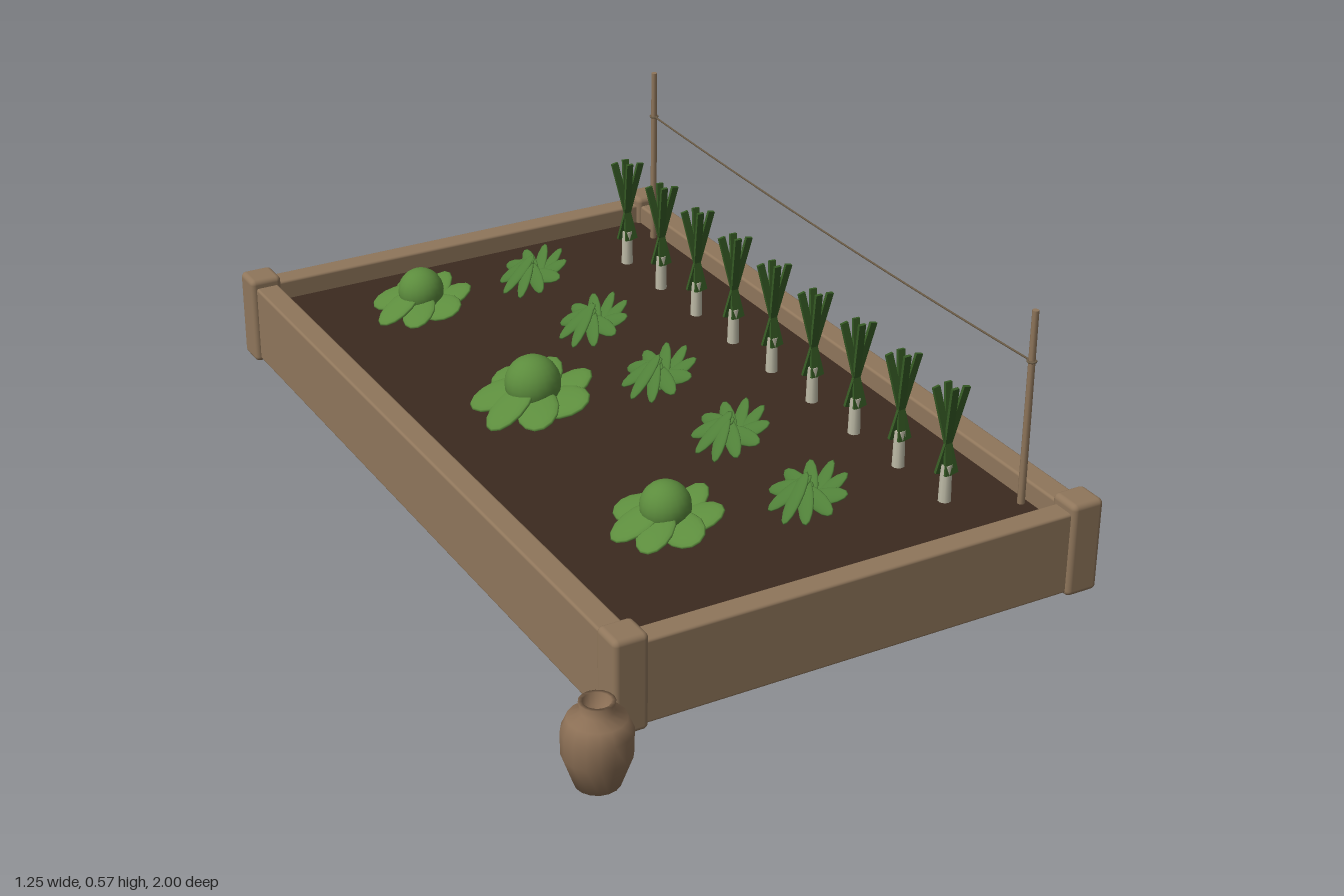
import * as THREE from 'three';
import { RoundedBoxGeometry } from 'three/addons/geometries/RoundedBoxGeometry.js';

const mat = (name, color, opts = {}) => {
  const m = new THREE.MeshStandardMaterial({ color, ...opts });
  m.name = name;
  return m;
};

const SOIL = 0.145; // height of the soil surface

export function createModel() {
  const root = new THREE.Group();
  root.name = 'raisedGardenBed';

  const wood = mat('wood', 0x8f765b);
  const soilMat = mat('soil', 0x3b2a1f);
  const clay = mat('clay', 0x8b6f55, { side: THREE.DoubleSide });
  const cabbageGreen = mat('cabbage green', 0x5c8c3d);
  const lettuceGreen = mat('lettuce green', 0x4f7f38);
  const leekGreen = mat('leek green', 0x355a24);
  const leekWhite = mat('leek white', 0xbdbaa6);
  const twine = mat('twine', 0x6e5e48);

  const add = (parent, name, geo, material, x = 0, y = 0, z = 0) => {
    const m = new THREE.Mesh(geo, material);
    m.name = name;
    m.position.set(x, y, z);
    parent.add(m);
    return m;
  };

  const group = (name, x, y, z) => {
    const g = new THREE.Group();
    g.name = name;
    g.position.set(x, y, z);
    root.add(g);
    return g;
  };

  // Frame: four boards between four corner posts
  const cx = 0.078, cz = -0.085;
  const sideBoard = new RoundedBoxGeometry(0.054, 0.18, 1.74, 2, 0.006);
  const endBoard = new RoundedBoxGeometry(1.0, 0.18, 0.052, 2, 0.006);
  const post = new RoundedBoxGeometry(0.074, 0.207, 0.072, 3, 0.012);
  for (const s of [-1, 1]) {
    add(root, 'sideBoard', sideBoard, wood, cx + s * 0.508, 0.1, cz);
    add(root, 'endBoard', endBoard, wood, cx, 0.1, cz + s * 0.877);
    for (const t of [-1, 1]) {
      add(root, 'cornerPost', post, wood, cx + s * 0.51, 0.1065, cz + t * 0.876);
    }
  }
  add(root, 'soil', new THREE.BoxGeometry(0.97, SOIL - 0.08, 1.71), soilMat, cx, (SOIL + 0.08) / 2, cz);

  // Thick oval leaf, long along x
  const ovalLeaf = (halfLength, halfThickness, halfWidth) =>
    new THREE.SphereGeometry(1, 14, 10).scale(halfLength, halfThickness, halfWidth);

  // Level ring of leaves that all lean the same way, right side up
  const ring = (plant, geo, material, count, radius, lean, start) => {
    for (let i = 0; i < count; i++) {
      const a = start + (i / count) * Math.PI * 2;
      const leaf = add(plant, 'leaf', geo, material, Math.cos(a) * radius, 0, Math.sin(a) * radius);
      leaf.rotation.order = 'ZYX';
      leaf.rotation.set(0, -a, lean + 0.06 * Math.sin(i * 2.4));
    }
  };

  // Cabbages: round head in a ring of broad leaves
  const broadLeaf = ovalLeaf(0.07, 0.011, 0.047);
  const head = new THREE.SphereGeometry(0.06, 20, 14);
  [[-0.65, 0.86, 0.3], [-0.09, 1, 0.1], [0.475, 0.86, 0.6]].forEach(([z, s, turn]) => {
    const cabbage = group('cabbage', -0.165, SOIL + 0.075 * s, z);
    cabbage.scale.setScalar(s);
    add(cabbage, 'head', head, cabbageGreen, 0, 0.03, 0);
    ring(cabbage, broadLeaf, cabbageGreen, 7, 0.07, 0.48, turn);
  });

  // Lettuces: rosettes of narrow, steeply leaning leaves
  const narrowLeaf = ovalLeaf(0.058, 0.006, 0.019);
  for (let i = 0; i < 5; i++) {
    const lettuce = group('lettuce', 0.139, SOIL + 0.055, -0.69 + i * 0.3);
    ring(lettuce, narrowLeaf, lettuceGreen, 10, 0.037, 0.83, i * 0.25);
  }

  // Leeks: pale stalk with upright leaves crossing just above it
  const stalk = new THREE.CylinderGeometry(0.012, 0.014, 0.09, 10);
  const strap = new THREE.BoxGeometry(0.016, 0.2, 0.007);
  const tips = [[-0.028, -0.014], [0.028, 0.014], [-0.003, 0.017], [0.004, -0.017]];
  for (let i = 0; i < 9; i++) {
    const leek = group('leek', 0.415, SOIL, -0.735 + i * 0.1653);
    add(leek, 'stalk', stalk, leekWhite, 0, 0.038, 0);
    for (const [x, z] of tips) {
      const dir = new THREE.Vector3(x, 0.13, z).normalize();
      const leaf = add(leek, 'leekLeaf', strap, leekGreen, dir.x * 0.03, 0.13 + dir.y * 0.03, dir.z * 0.03);
      leaf.quaternion.setFromUnitVectors(new THREE.Vector3(0, 1, 0), dir);
    }
  }

  // Stakes with sagging twine tied around them
  const stake = new THREE.CylinderGeometry(0.007, 0.008, 0.45, 8);
  const knot = new THREE.TorusGeometry(0.0085, 0.0025, 6, 12).rotateX(Math.PI / 2);
  for (const z of [-0.835, 0.67]) {
    add(root, 'stake', stake, wood, 0.543, 0.347, z);
    add(root, 'twineKnot', knot, twine, 0.543, 0.462, z);
  }
  const line = new THREE.QuadraticBezierCurve3(
    new THREE.Vector3(0.543, 0.462, -0.835),
    new THREE.Vector3(0.543, 0.438, -0.0825),
    new THREE.Vector3(0.543, 0.462, 0.67));
  add(root, 'twine', new THREE.TubeGeometry(line, 24, 0.0022, 5), twine);

  // Clay jar beside the front corner
  const profile = [[0, 0.01], [0.043, 0.01], [0.066, 0.075], [0.066, 0.122], [0.055, 0.148],
    [0.03, 0.16], [0.034, 0.181], [0.026, 0.181], [0.024, 0.155], [0, 0.15]]
    .map(([r, y]) => new THREE.Vector2(r, y));
  add(root, 'jar', new THREE.LatheGeometry(profile, 16), clay, -0.56, 0, 0.932);

  return root;
}
